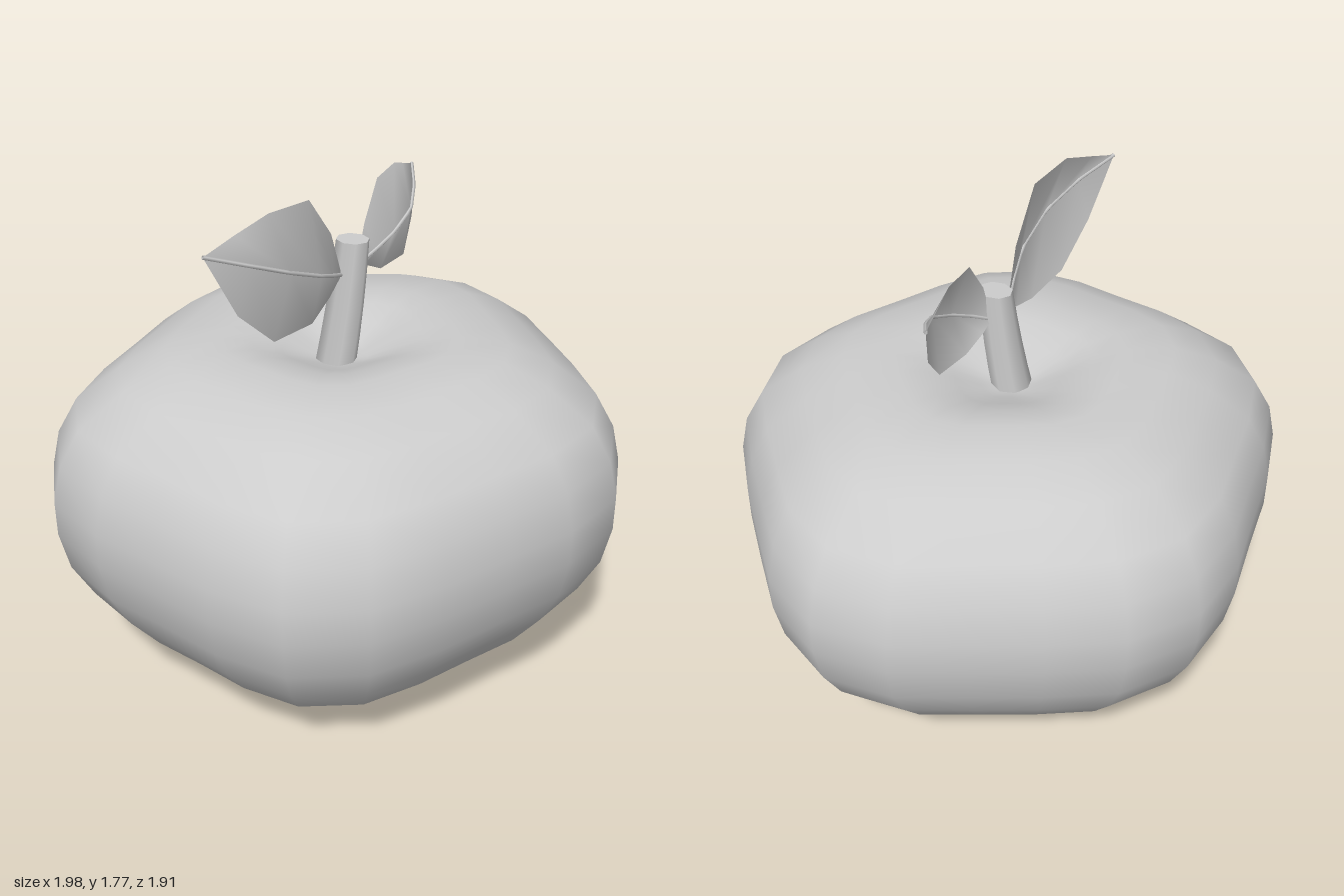
import * as THREE from 'three';
import { mergeVertices } from 'three/addons/utils/BufferGeometryUtils.js';

const V3 = (p) => new THREE.Vector3(...p);

// Weld seams so the shading stays smooth all round
function weld(geometry) {
  geometry.deleteAttribute('uv');
  geometry.deleteAttribute('normal');
  const g = mergeVertices(geometry, 1e-4);
  g.computeVertexNormals();
  return g;
}

// Five-lobed fruit: a lathe whose radius swells with the angle
function fruitGeometry() {
  const profile = [
    [0, 0.05], [0.12, 0.04], [0.24, 0.012], [0.355, 0], [0.51, 0.055], [0.67, 0.15],
    [0.80, 0.255], [0.90, 0.38], [0.97, 0.51], [1, 0.65], [1, 0.77], [0.97, 0.90],
    [0.90, 1.02], [0.745, 1.13], [0.59, 1.195], [0.41, 1.21], [0.30, 1.195],
    [0.20, 1.16], [0.10, 1.12], [0, 1.10],
  ].map(([r, y]) => new THREE.Vector2(r, y));
  const g = new THREE.LatheGeometry(profile, 24);
  const p = g.attributes.position;
  for (let i = 0; i < p.count; i++) {
    const x = p.getX(i), z = p.getZ(i);
    const swell = 0.99 + 0.05 * Math.cos(5 * Math.atan2(z, x));
    p.setX(i, x * swell - 0.043);
    p.setZ(i, z * swell * 0.95);
  }
  return weld(g);
}

// Stalk: horizontal rings shifted along a leaning curve
function stalkGeometry() {
  const g = new THREE.CylinderGeometry(0.052, 0.072, 0.44, 8, 4);
  const p = g.attributes.position;
  for (let i = 0; i < p.count; i++) {
    const t = p.getY(i) / 0.44 + 0.5;
    p.setX(i, p.getX(i) - 0.07 + 0.13 * t - 0.03 * t * t);
    p.setZ(i, p.getZ(i) * (1 + 0.15 * t));
    p.setY(i, 1.08 + 0.44 * t);
  }
  return g;
}

// Leaf: two strips folded along a curved midrib; every station is upper, middle, lower
function makeLeaf(name, base, tip, stations, material) {
  const pos = [...base, ...stations.flat(2), ...tip];
  const n = stations.length, last = 3 * n + 1, index = [];
  const at = (s, k) => 1 + 3 * s + k;
  for (let k = 0; k < 2; k++) {
    index.push(0, at(0, k + 1), at(0, k));
    for (let s = 0; s < n - 1; s++) {
      index.push(at(s, k), at(s, k + 1), at(s + 1, k));
      index.push(at(s, k + 1), at(s + 1, k + 1), at(s + 1, k));
    }
    index.push(at(n - 1, k), at(n - 1, k + 1), last);
  }
  const g = new THREE.BufferGeometry();
  g.setAttribute('position', new THREE.Float32BufferAttribute(pos, 3));
  g.setIndex(index);
  g.computeVertexNormals();

  const leaf = new THREE.Group();
  leaf.name = name;
  const blade = new THREE.Mesh(g, material);
  blade.name = name + 'Blade';
  const path = new THREE.CurvePath();
  const ribPoints = [base, ...stations.map((s) => s[1]), tip].map(V3);
  for (let i = 1; i < ribPoints.length; i++) path.add(new THREE.LineCurve3(ribPoints[i - 1], ribPoints[i]));
  const rib = new THREE.Mesh(new THREE.TubeGeometry(path, 16, 0.007, 5), material);
  rib.name = name + 'Midrib';
  leaf.add(blade, rib);
  return leaf;
}

export function createModel() {
  const model = new THREE.Group();
  model.name = 'fruit';
  const grey = new THREE.MeshStandardMaterial({ color: 0xcccccc });
  grey.name = 'light grey';
  const leafGrey = grey;
  leafGrey.side = THREE.DoubleSide;

  const body = new THREE.Mesh(fruitGeometry(), grey);
  body.name = 'fruitBody';
  const stalk = new THREE.Mesh(stalkGeometry(), grey);
  stalk.name = 'stalk';
  model.add(body, stalk);

  // Large leaf on the model's right
  model.add(makeLeaf('rightLeaf', [-0.03, 1.41, 0], [-0.73, 1.70, 0.045], [
    [[-0.135, 1.595, 0.04], [-0.15, 1.46, 0.06], [-0.13, 1.372, 0.03]],
    [[-0.28, 1.755, 0.07], [-0.27, 1.51, 0.11], [-0.26, 1.33, 0.06]],
    [[-0.48, 1.77, 0.08], [-0.44, 1.58, 0.13], [-0.465, 1.345, 0.075]],
    [[-0.61, 1.735, 0.06], [-0.59, 1.643, 0.10], [-0.62, 1.485, 0.07]],
  ], leafGrey));

  // Small leaf on the model's left
  model.add(makeLeaf('leftLeaf', [0.05, 1.42, 0], [0.51, 1.64, -0.105], [
    [[0.095, 1.56, 0.0], [0.12, 1.457, 0.025], [0.11, 1.40, -0.01]],
    [[0.19, 1.685, -0.02], [0.21, 1.50, 0.04], [0.195, 1.36, -0.005]],
    [[0.335, 1.695, -0.055], [0.32, 1.55, 0.03], [0.345, 1.365, -0.015]],
    [[0.42, 1.668, -0.08], [0.42, 1.597, -0.03], [0.44, 1.475, -0.05]],
  ], leafGrey));

  return model;
}
